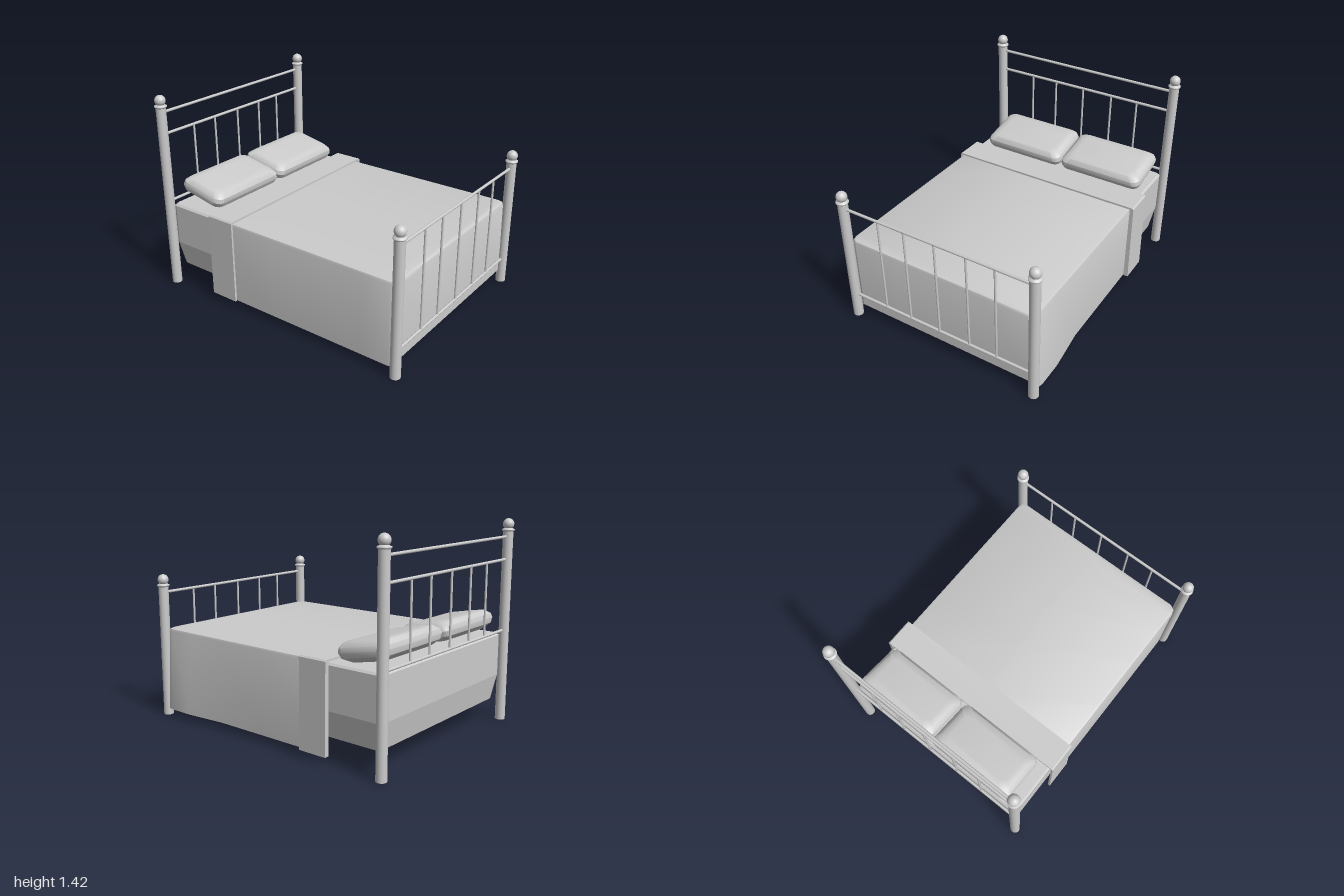
import * as THREE from 'three';
import { toCreasedNormals } from 'three/addons/utils/BufferGeometryUtils.js';

const metal = new THREE.MeshStandardMaterial({ color: 0xcccccc });
const cloth = new THREE.MeshStandardMaterial({ color: 0xcccccc, side: THREE.DoubleSide });

function add(parent, name, geometry, material, x = 0, y = 0, z = 0) {
  const mesh = new THREE.Mesh(geometry, material);
  mesh.name = name;
  mesh.position.set(x, y, z);
  parent.add(mesh);
  return mesh;
}

// Skin a list of rings (arrays of Vector3) from bottom to top
function loft(rings, closed, crease = 0.5) {
  const pos = [];
  const tri = (a, b, c) => {
    if (new THREE.Triangle(a, b, c).getArea() < 1e-7) return;
    for (const p of [a, b, c]) pos.push(p.x, p.y, p.z);
  };
  const n = rings[0].length;
  for (let j = 0; j + 1 < rings.length; j++) {
    for (let i = 0; i < (closed ? n : n - 1); i++) {
      const k = (i + 1) % n;
      const a = rings[j][i], b = rings[j][k], c = rings[j + 1][k], d = rings[j + 1][i];
      tri(a, d, c);
      tri(a, c, b);
    }
  }
  const g = new THREE.BufferGeometry();
  g.setAttribute('position', new THREE.Float32BufferAttribute(pos, 3));
  return toCreasedNormals(g, crease);
}

// Collapsing a ring onto x = 0 closes it with a flat cap
const cap = ring => ring.map(p => new THREE.Vector3(0, p.y, p.z));

// Rectangle with rounded corners at height y
function roundedRing(hx, hz, y, r, steps = 3) {
  const ring = [];
  for (let q = 0; q < 4; q++) {
    const sx = q === 0 || q === 3 ? 1 : -1, sz = q < 2 ? 1 : -1;
    for (let s = 0; s <= steps; s++) {
      const t = (q + s / steps) * Math.PI / 2;
      ring.push(new THREE.Vector3(sx * (hx - r) + r * Math.cos(t), y, sz * (hz - r) + r * Math.sin(t)));
    }
  }
  return ring;
}

// Post with a collar and a ball on top
function post(parent, name, x, z, height) {
  const g = new THREE.Group();
  g.name = name;
  g.position.set(x, 0, z);
  add(g, 'shaft', new THREE.CylinderGeometry(0.035, 0.035, height, 24), metal, 0, height / 2);
  const collar = [[0, -0.01], [0.036, -0.01], [0.043, -0.003], [0.043, 0.004], [0.03, 0.01], [0.02, 0.02]]
    .map(p => new THREE.Vector2(...p));
  add(g, 'collar', new THREE.LatheGeometry(collar, 24), metal, 0, height);
  add(g, 'ball', new THREE.SphereGeometry(0.038, 24, 16), metal, 0, height + 0.04);
  parent.add(g);
}

// One end of the frame: two posts, cross rails and five spindles
function bedEnd(name, z, height, rails, low, high) {
  const g = new THREE.Group();
  g.name = name;
  for (const s of [-1, 1]) post(g, s > 0 ? 'leftPost' : 'rightPost', s * 0.72, z, height);
  for (const y of rails) {
    const rail = add(g, 'rail', new THREE.CylinderGeometry(0.01, 0.01, 1.42, 12), metal, 0, y, z);
    rail.rotation.z = Math.PI / 2;
  }
  for (const x of [-0.437, -0.23, 0.005, 0.24, 0.448]) {
    add(g, 'spindle', new THREE.CylinderGeometry(0.0075, 0.0075, high - low, 12), metal, x, (low + high) / 2, z);
  }
  return g;
}

// Mattress shell, open underneath, tapering in below the seam
function mattress() {
  const rings = [
    roundedRing(0.675, 0.91, 0.155, 0.03),
    roundedRing(0.705, 0.94, 0.33, 0.03),
    roundedRing(0.705, 0.94, 0.615, 0.03),
    roundedRing(0.692, 0.927, 0.628, 0.03),
  ];
  return loft([...rings, cap(rings[3])], true, 0.15);
}

// Blanket draped over both sides and the foot, open at the head
function blanket() {
  const half = [[0.715, -0.5], [0.715, 0], [0.715, 0.4], [0.715, 0.7], [0.715, 0.89],
    [0.705, 0.925], [0.67, 0.945], [0.35, 0.945]];
  const path = [...half, [0, 0.945], ...half.slice().reverse().map(([x, z]) => [-x, z])];
  const ring = (y, inset, hem) => path.map(([x, z]) => {
    const front = z > 0.94;
    const flare = hem && x > 0 && z > 0.5 ? 0.03 : 0;
    return new THREE.Vector3(
      x * (1 - inset / 0.715) + flare,
      hem && front ? 0.09 : y,
      z > 0.8 ? z - inset : z);
  });
  const rings = [ring(0.05, 0, true), ring(0.62, 0), ring(0.634, 0.005), ring(0.64, 0.018)];
  return loft([...rings, cap(rings[3])], false, 0.5);
}

// Turned-back strip of sheet wrapped over the blanket
function foldedSheet() {
  const s = new THREE.Shape();
  const outline = [[-0.735, 0.05], [-0.718, 0.05], [-0.718, 0.641], [0.718, 0.641], [0.718, 0.05],
    [0.752, 0.05], [0.745, 0.645], [0.735, 0.655], [-0.722, 0.655], [-0.732, 0.645]];
  s.setFromPoints(outline.map(p => new THREE.Vector2(...p)));
  return new THREE.ExtrudeGeometry(s, { depth: 0.21, bevelEnabled: false });
}

// Plump pillow with softly bevelled edges
function pillow() {
  const rings = [
    roundedRing(0.265, 0.125, -0.062, 0.04),
    roundedRing(0.312, 0.175, -0.03, 0.05),
    roundedRing(0.322, 0.187, 0.005, 0.05),
    roundedRing(0.315, 0.182, 0.035, 0.05),
    roundedRing(0.285, 0.155, 0.063, 0.05),
    roundedRing(0.24, 0.11, 0.07, 0.04),
  ];
  return loft([cap(rings[0]), ...rings, cap(rings[5])], true, 0.6);
}

export function createModel() {
  const bed = new THREE.Group();
  bed.name = 'bed';
  bed.add(bedEnd('headboard', -0.957, 1.345, [1.3, 1.145, 0.648], 0.648, 1.145));
  bed.add(bedEnd('footboard', 0.957, 0.945, [0.895, 0.185], 0.185, 0.895));
  add(bed, 'mattress', mattress(), cloth);
  add(bed, 'blanket', blanket(), cloth);
  add(bed, 'foldedSheet', foldedSheet(), cloth, 0, 0, -0.56);
  for (const s of [-1, 1]) {
    const p = add(bed, s > 0 ? 'leftPillow' : 'rightPillow', pillow(), cloth, 0.023 + s * 0.326, 0.713, -0.752);
    p.rotation.x = 0.2;
  }
  return bed;
}
